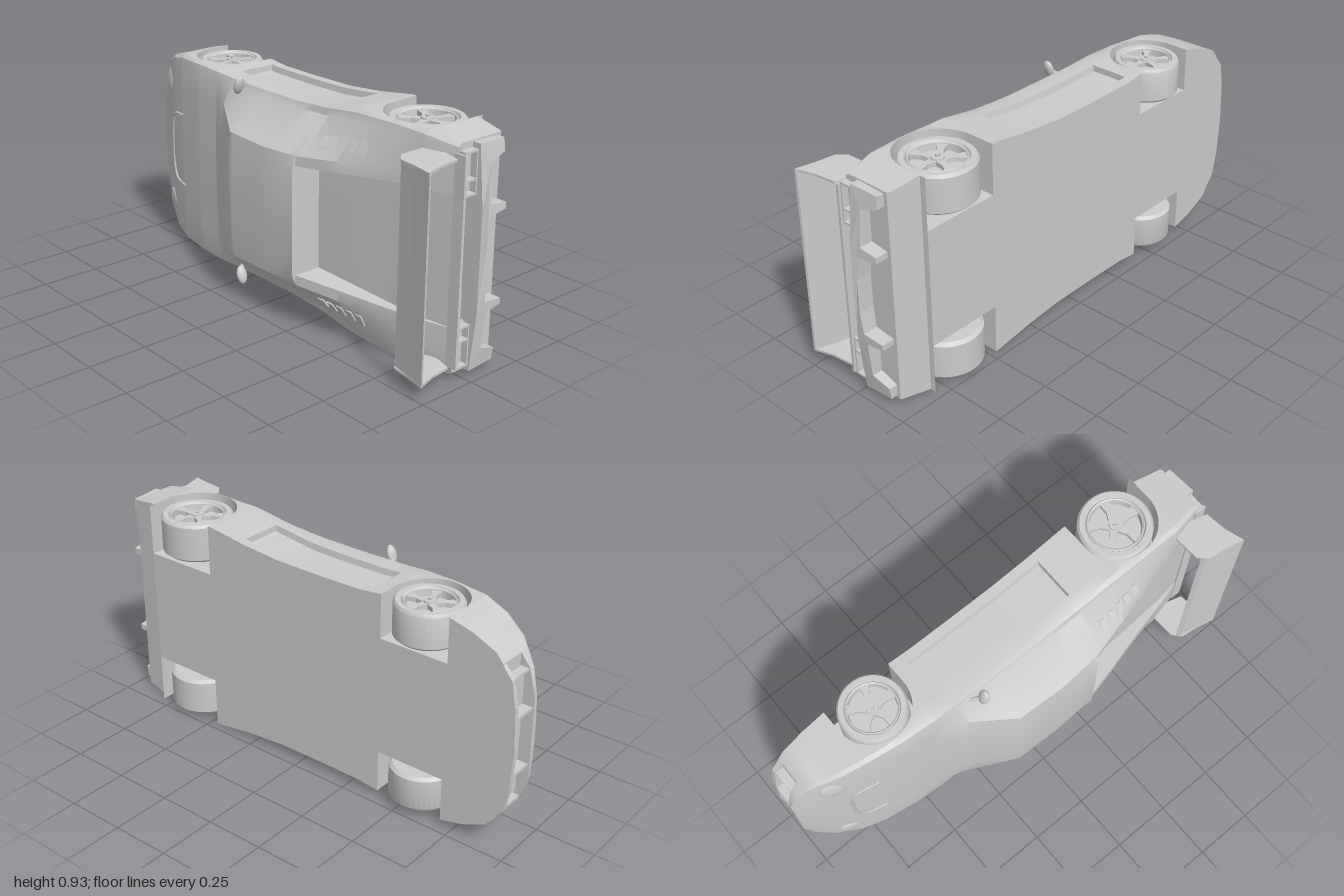
import * as THREE from 'three';
import { toCreasedNormals } from 'three/addons/utils/BufferGeometryUtils.js';

// The car lies on its side: x = nose to tail, y = across, z = car's own height.
const MID = 0.465;
const FLOOR = -0.215;
const mat = new THREE.MeshStandardMaterial({ color: 0xcccccc, side: THREE.DoubleSide });
const V = (x, y, z) => new THREE.Vector3(x, y, z);

// x, half width, shoulder z, belt w, belt z, roof edge w, roof edge z, inner w, inner z
const KEYS = [
  [-1.0, 0.17, -0.095, 0.15, -0.085, 0.10, -0.08, 0.05, -0.078],
  [-0.97, 0.28, -0.08, 0.25, -0.07, 0.18, -0.06, 0.10, -0.055],
  [-0.9, 0.365, -0.045, 0.33, -0.03, 0.24, -0.02, 0.12, -0.018],
  [-0.8, 0.41, 0.0, 0.37, 0.015, 0.26, 0.02, 0.15, 0.022],
  [-0.7, 0.435, 0.025, 0.39, 0.04, 0.28, 0.045, 0.15, 0.047],
  [-0.55, 0.437, 0.045, 0.40, 0.065, 0.30, 0.07, 0.15, 0.072],
  [-0.4, 0.433, 0.055, 0.40, 0.075, 0.30, 0.08, 0.15, 0.087],
  [-0.3, 0.422, 0.055, 0.40, 0.075, 0.32, 0.12, 0.20, 0.135],
  [-0.12, 0.42, 0.055, 0.395, 0.08, 0.265, 0.225, 0.17, 0.235],
  [0.1, 0.422, 0.055, 0.395, 0.08, 0.26, 0.232, 0.17, 0.24],
  [0.27, 0.437, 0.06, 0.40, 0.08, 0.265, 0.22, 0.225, 0.235],
  [0.271, 0.437, 0.06, 0.40, 0.08, 0.265, 0.22, 0.225, 0.1],
  [0.45, 0.463, 0.063, 0.42, 0.085, 0.28, 0.175, 0.235, 0.09],
  [0.65, 0.465, 0.063, 0.43, 0.085, 0.31, 0.12, 0.25, 0.075],
  [0.8, 0.465, 0.06, 0.42, 0.08, 0.33, 0.085, 0.255, 0.065],
  [0.93, 0.445, 0.035, 0.40, 0.05, 0.33, 0.05, 0.255, 0.047],
];
function keyAt(x) {
  let i = 0;
  while (i < KEYS.length - 2 && x > KEYS[i + 1][0]) i++;
  const a = KEYS[i], b = KEYS[i + 1], t = (x - a[0]) / (b[0] - a[0]);
  return a.map((v, k) => v + (b[k] - v) * t);
}

const WHEELS = [
  { name: 'front', x: -0.55, z: -0.12, r: 0.135, arch: 0.15, outer: 0.425, width: 0.15 },
  { name: 'rear', x: 0.635, z: -0.105, r: 0.15, arch: 0.165, outer: 0.445, width: 0.165 },
];

// Half cross-section (w, z), from floor centre round the flank to the top centre
function section(x) {
  const [, hw, sz, bw, bz, rw, rz, iw, iz] = keyAt(x);
  const floor = x < -0.95 ? -0.1 : x > 0.8 ? -0.19 + (x - 0.8) * 0.15 : FLOOR;
  let arch = x < -0.93 ? -0.1 : floor;
  for (const w of WHEELS) {
    const d = Math.abs(x - w.x);
    if (d < w.arch) arch = w.z + Math.sqrt(w.arch ** 2 - d ** 2);
  }
  const fw = Math.min(0.25, hw - 0.04);
  const inset = x > -0.34 && x < 0.3 ? 0.025 : 0; // recessed door panel
  const panelTop = -0.01 + 0.06 * Math.max(0, x);
  const side = (z) => Math.min(Math.max(z, arch), sz);
  return [[0, floor], [fw, floor], [fw, arch], [hw, arch], [hw, side(-0.175)],
    [hw - inset, side(-0.17)], [hw - inset, side(panelTop - 0.005)], [hw, side(panelTop)],
    [hw, sz - 0.005], [(hw + bw) / 2 + 0.008, (sz + bz) / 2 + 0.004], [bw, bz],
    [rw, rz], [iw, Math.max(rz, x < 0.2705 ? iz : rz)], [iw, iz], [0, iz + 0.002]];
}

function bodyGeometry() {
  const xs = KEYS.map((k) => k[0]);
  for (const j of [-0.95, -0.93, -0.34, 0.3]) xs.push(j - 0.0005, j + 0.0005);
  for (const w of WHEELS) {
    for (let i = 1; i < 20; i++) xs.push(w.x - w.arch * Math.cos((i / 20) * Math.PI));
    for (const s of [-1, 1]) xs.push(w.x + s * (w.arch - 0.0005), w.x + s * (w.arch + 0.0005));
  }
  for (let i = 1; i < 30; i++) xs.push(-1 + i * 0.0641);
  xs.sort((a, b) => a - b);
  const pos = [], idx = [];
  let n = 0;
  xs.forEach((x, i) => {
    const half = section(x);
    const ring = [...half, ...half.slice(1, -1).reverse().map(([w, z]) => [-w, z])];
    n = ring.length;
    for (const [w, z] of ring) pos.push(x, MID + w, z);
    if (i) for (let j = 0; j < n; j++) {
      const a = (i - 1) * n + j, b = (i - 1) * n + ((j + 1) % n);
      idx.push(a, b, a + n, b, b + n, a + n);
    }
  });
  for (let j = 1; j < n - 1; j++) idx.push(0, j + 1, j); // nose cap
  const g = new THREE.BufferGeometry();
  g.setAttribute('position', new THREE.Float32BufferAttribute(pos, 3));
  g.setIndex(idx);
  return toCreasedNormals(g, 0.55);
}

const shapeOf = (pts) => new THREE.Shape(pts.map(([a, b]) => new THREE.Vector2(a, b)));
// Outline in (w, z), thickness along x
function across(shape, x, depth) {
  const g = new THREE.ExtrudeGeometry(shape, { depth, bevelEnabled: false });
  return g.applyMatrix4(new THREE.Matrix4().makeBasis(V(0, 1, 0), V(0, 0, 1), V(1, 0, 0))).translate(x, MID, 0);
}
// Outline in (x, z), thickness along y
function along(pts, y, depth) {
  const g = new THREE.ExtrudeGeometry(shapeOf(pts), { depth, bevelEnabled: false });
  return g.applyMatrix4(new THREE.Matrix4().makeBasis(V(1, 0, 0), V(0, 0, 1), V(0, -1, 0))).translate(0, y + depth, 0);
}

function wheel(w) {
  const g = new THREE.Group(), r = w.r, h = w.width / 2;
  const part = (geo, name) => { const m = new THREE.Mesh(geo, mat); m.name = name; g.add(m); return m; };
  const tyre = [[0, -h], [0.9, -h], [1, -h + 0.012], [1, h - 0.012], [0.94, h], [0.8, h], [0.77, h - 0.008],
    [0.74, h - 0.002], [0.7, h - 0.006], [0.68, h - 0.035], [0, h - 0.035]];
  part(toCreasedNormals(new THREE.LatheGeometry(tyre.map(([a, y]) => new THREE.Vector2(a * r, y)), 40), 0.6), 'tyreAndRim');
  part(new THREE.CylinderGeometry(r * 0.17, r * 0.2, 0.03, 20), 'hub').position.y = h - 0.018;
  part(new THREE.CylinderGeometry(r * 0.06, r * 0.06, 0.012, 6), 'wheelNut').position.y = h;
  const spoke = new THREE.ExtrudeGeometry(shapeOf([[0.08, -0.13], [0.4, -0.07], [0.7, -0.15], [0.7, 0.15], [0.4, 0.07], [0.08, 0.13]]
    .map(([a, b]) => [a * r, b * r])), { depth: 0.018, bevelEnabled: false }).rotateX(-Math.PI / 2);
  for (let i = 0; i < 5; i++) {
    const s = part(spoke, 'spoke');
    s.position.y = h - 0.028;
    s.rotation.y = (i / 5) * Math.PI * 2;
  }
  return g;
}

export function createModel() {
  const car = new THREE.Group();
  const add = (geo, name, parent = car) => { const m = new THREE.Mesh(geo, mat); m.name = name; parent.add(m); return m; };
  const box = (name, x, w, z, sx, sy, sz) => add(new THREE.BoxGeometry(sx, sy, sz).translate(x, MID + w, z), name);
  add(bodyGeometry(), 'body');

  // Wheels on both sides
  for (const w of WHEELS) for (const s of [1, -1]) {
    const g = wheel(w);
    g.name = w.name + 'Wheel';
    g.position.set(w.x, MID + s * (w.outer - w.width / 2), w.z);
    if (s < 0) g.rotation.x = Math.PI;
    car.add(g);
  }

  // Nose: splitter lip and intake struts
  const lip = new THREE.Shape([[-0.85, 0.37], [-0.9, 0.36], [-0.97, 0.275], [-0.99, 0.17], [-1, 0],
    [-0.99, -0.17], [-0.97, -0.275], [-0.9, -0.36], [-0.85, -0.37]].map(([x, w]) => new THREE.Vector2(x, w)));
  add(new THREE.ExtrudeGeometry(lip, { depth: 0.02, bevelEnabled: false }).translate(0, MID, FLOOR), 'frontLip');
  for (const s of [-1, 1]) {
    box('intakeStrut', -0.968, s * 0.12, -0.15, 0.05, 0.012, 0.12);
    box('intakeStrut', -0.95, s * 0.27, -0.15, 0.035, 0.012, 0.12);
  }

  // Bonnet vent rim
  const vent = [[-0.68, 0.165], [-0.77, 0.15], [-0.795, 0.1], [-0.8, 0], [-0.795, -0.1], [-0.77, -0.15], [-0.68, -0.165]]
    .map(([x, w]) => V(x, MID + w, keyAt(x)[8]));
  add(new THREE.TubeGeometry(new THREE.CatmullRomCurve3(vent), 40, 0.007, 6), 'bonnetVent');

  // Tail panel with open centre and lamp recesses
  const panel = shapeOf([[-0.445, -0.165], [0.445, -0.165], [0.445, 0.03], [0.4, 0.05], [-0.4, 0.05], [-0.445, 0.03]]);
  const hole = (a, b, lo, hi) => panel.holes.push(new THREE.Path([[a, lo], [a, hi], [b, hi], [b, lo]].map(([p, q]) => new THREE.Vector2(p, q))));
  hole(-0.245, 0.245, -0.02, 0.04);
  add(across(panel, 0.92, 0.012), 'tailPanel');
  for (const s of [-1, 1]) {
    for (const w of [0.255, 0.31, 0.415]) box('lampFrame', 0.945, s * w, 0.012, 0.03, 0.008, 0.064);
    for (const z of [-0.018, 0.042]) box('lampFrame', 0.945, s * 0.335, z, 0.03, 0.165, 0.008);
  }
  box('tailLip', 0.945, 0, 0.05, 0.05, 0.82, 0.012);

  // Rear bumper: a beam with four fins below, curved in plan
  const right = [[0.07, -0.05], [0.165, -0.06], [0.175, -0.15], [0.2, -0.15], [0.21, -0.07], [0.36, -0.07], [0.385, -0.15], [0.435, -0.15], [0.44, -0.02], [0.2, -0.02]];
  const bumper = across(shapeOf([...right, ...right.slice().reverse().map(([w, z]) => [-w, z])]), 0.915, 0.083);
  const p = bumper.attributes.position;
  for (let i = 0; i < p.count; i++) if (p.getX(i) > 0.95) p.setX(i, p.getX(i) - 0.16 * (p.getY(i) - MID) ** 2 + 0.06 * Math.min(0, p.getZ(i) + 0.05));
  bumper.computeVertexNormals();
  add(bumper, 'rearBumper');

  // Rear wing with end plates
  const plate = [[0.79, 0.07], [0.795, 0.19], [0.83, 0.228], [0.91, 0.238], [0.99, 0.255], [0.965, 0.17], [0.955, 0.08], [0.88, 0.06]];
  for (const s of [-1, 1]) add(along(plate, MID + s * 0.398 - 0.005, 0.01), 'wingEndPlate');
  add(along([[0.81, 0.205], [0.825, 0.22], [0.9, 0.235], [0.992, 0.255], [0.99, 0.245], [0.9, 0.215], [0.83, 0.203]], 0.07, 0.79), 'rearWing');

  for (const s of [-1, 1]) {
    // Headlamps set in the front corners
    const lamp = add(new THREE.SphereGeometry(1, 20, 12).scale(0.05, 0.055, 0.012), 'headlamp');
    lamp.position.set(-0.845, MID + s * 0.285, -0.003);
    lamp.rotation.set(-s * 0.1, -0.35, 0);
    // Mirrors on short stalks
    const mirror = add(new THREE.SphereGeometry(1, 20, 14).scale(0.016, 0.04, 0.024), 'mirror');
    mirror.position.set(-0.205, MID + s * 0.418, 0.112);
    mirror.rotation.z = -s * 0.3;
    add(new THREE.TubeGeometry(new THREE.LineCurve3(V(-0.25, MID + s * 0.385, 0.075), V(-0.21, MID + s * 0.41, 0.105)), 2, 0.008, 8), 'mirrorStalk');
    // Louvres on the rear buttresses
    for (let i = 0; i < 5; i++) {
      const x = 0.36 + i * 0.045, k = keyAt(x);
      const slat = add(new THREE.BoxGeometry(0.03, 0.05, 0.008), 'louvre');
      slat.position.set(x, MID + s * (k[3] * 0.4 + k[5] * 0.6), k[4] * 0.4 + k[6] * 0.6);
      slat.rotation.x = s * Math.atan2(k[4] - k[6], k[3] - k[5]);
    }
  }
  return car;
}
